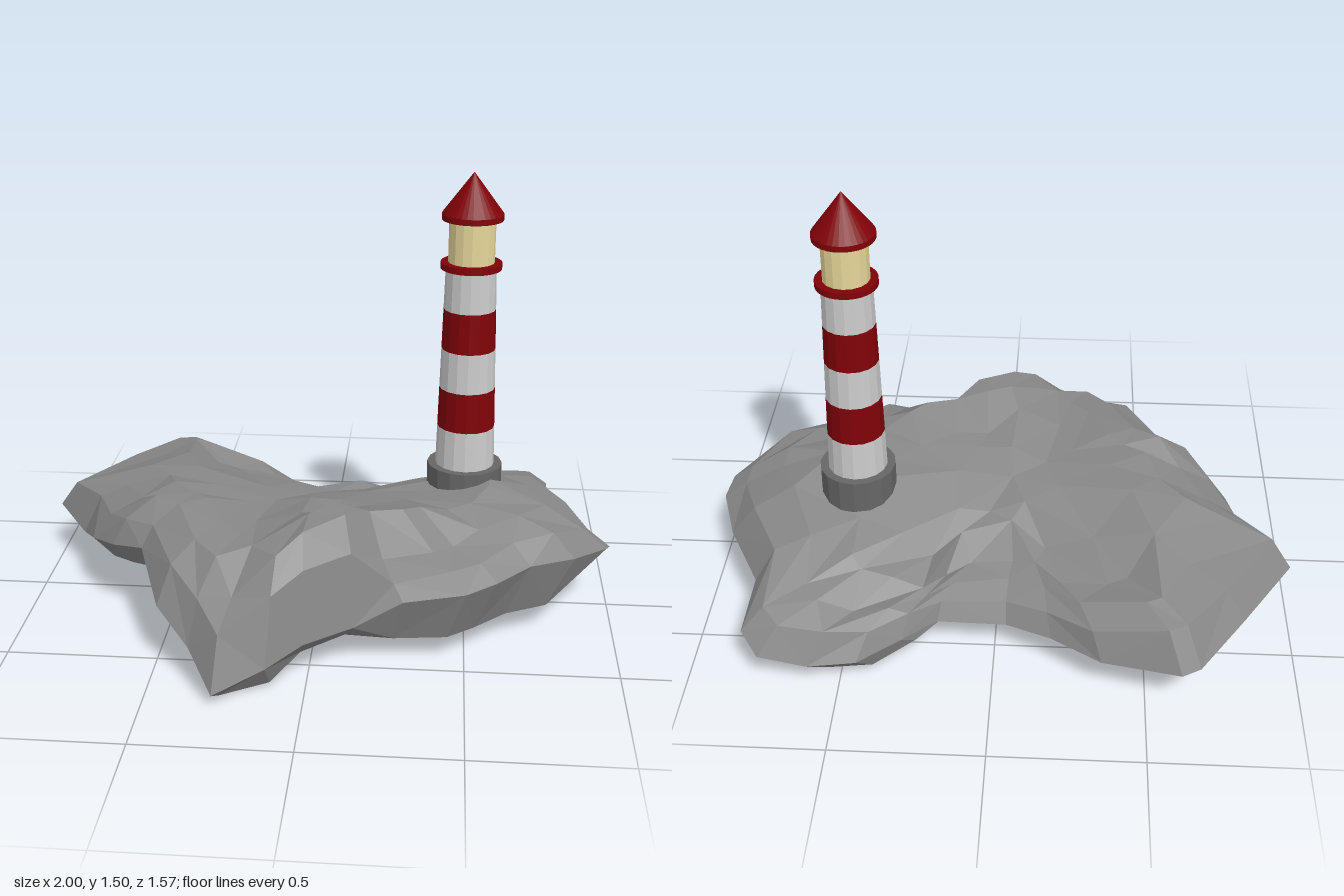
import * as THREE from 'three';

const material = (color) => new THREE.MeshStandardMaterial({ color, flatShading: true });

// Widest outline of the island: x, z, height of the rim
const RIM = [
  [-1, -0.27, 0.19], [-0.82, -0.56, 0.2], [-0.67, -0.76, 0.17], [-0.61, -0.785, 0.16],
  [-0.355, -0.715, 0.14], [-0.19, -0.6, 0.13], [-0.04, -0.53, 0.12], [0.19, -0.525, 0.12],
  [0.3, -0.62, 0.12], [0.44, -0.715, 0.1], [0.6, -0.73, 0.09], [0.76, -0.725, 0.12],
  [0.82, -0.66, 0.17], [0.81, -0.44, 0.2], [0.94, -0.19, 0.2], [1, -0.01, 0.22],
  [0.98, 0.07, 0.25], [0.86, 0.22, 0.28], [0.71, 0.31, 0.29], [0.6, 0.42, 0.28],
  [0.5, 0.49, 0.27], [0.3, 0.5, 0.24], [0.14, 0.515, 0.15], [-0.01, 0.62, 0.14],
  [-0.12, 0.71, 0.1], [-0.28, 0.78, 0.04], [-0.37, 0.65, 0.13], [-0.49, 0.53, 0.21],
  [-0.585, 0.28, 0.29], [-0.7, 0.2, 0.26], [-0.8, 0.07, 0.22], [-0.88, -0.12, 0.15],
];

// Spot heights of the upper surface: x, z, y
const TOP = [
  [0.1, 0.4, 0.5], [0, 0.52, 0.46], [-0.1, 0.62, 0.4], [-0.22, 0.68, 0.28], [-0.35, 0.35, 0.4],
  [-0.5, 0.1, 0.43], [-0.55, -0.2, 0.41], [-0.72, 0, 0.34], [-0.9, -0.25, 0.33], [-0.75, -0.5, 0.33],
  [-0.6, -0.62, 0.34], [-0.35, -0.6, 0.26], [-0.1, -0.4, 0.26], [-0.05, -0.47, 0.2], [-0.2, -0.1, 0.37],
  [0.1, 0.1, 0.41], [0.1, -0.2, 0.33], [0.15, -0.45, 0.2], [0.45, -0.6, 0.2], [0.65, -0.6, 0.25],
  [0.66, -0.35, 0.34], [0.48, -0.3, 0.34], [0.5, -0.1, 0.41], [0.6, 0, 0.45], [0.7, 0.1, 0.41],
  [0.85, 0.08, 0.36], [0.92, 0, 0.31], [0.28, 0.28, 0.47], [0.27, 0.44, 0.3], [0.5, 0.38, 0.35],
  [-0.5, 0.4, 0.37],
];

// Spot heights of the underside
const BOTTOM = [
  [-0.25, 0.67, -0.03], [0.55, 0, 0], [0.55, -0.6, 0.02], [-0.6, -0.4, 0.08], [-0.85, -0.18, 0.09],
  [-0.7, 0, 0.12], [-0.45, -0.15, 0.09], [-0.52, 0.15, 0.17], [0, 0, 0.08], [0, 0.4, 0.08],
  [0.3, 0.35, 0.03], [0.9, 0, 0.1], [-0.6, -0.7, 0.12], [-0.42, 0.4, 0.21], [0.1, -0.4, 0.08],
  [0.75, 0.1, 0.03],
];

// Blend of spot heights weighted by nearness
function heightAt(spots, x, z) {
  let sum = 0, total = 0;
  for (const [sx, sz, sy] of spots) {
    const w = 1 / (((x - sx) ** 2 + (z - sz) ** 2) ** 2 + 1e-5);
    sum += w * sy;
    total += w;
  }
  return sum / total;
}

function createRock() {
  let seed = 7;
  const jitter = (amount) => {
    seed = (seed * 16807) % 2147483647;
    return (seed / 2147483647 - 0.5) * 2 * amount;
  };
  const cx = -0.04, cz = -0.04;
  const corners = [];

  // One side of the rock: rings shrink inwards from the rim and lose corners on the way.
  // Each layer is [scale, share of the spot height, keep every n-th rim point, unevenness]
  const addSide = (spots, layers, up) => {
    const face = (a, b, c) => corners.push(...a, ...(up ? b : c), ...(up ? c : b));
    let outer = RIM.map(([x, z, y]) => [x, y, z]);
    for (const [scale, blend, step, rough] of layers) {
      const inner = RIM.filter((_, i) => i % step === 0).map(([rx, rz, ry]) => {
        const x = cx + (rx - cx) * scale + jitter(rough);
        const z = cz + (rz - cz) * scale + jitter(rough);
        const y = heightAt(spots, x, z) + jitter(0.01);
        return [x, Math.max(0, ry + (y - ry) * blend), z];
      });
      const halved = inner.length < outer.length;
      inner.forEach((c0, k) => {
        const c1 = inner[(k + 1) % inner.length];
        if (halved) {
          const f0 = outer[2 * k], f1 = outer[2 * k + 1], f2 = outer[(2 * k + 2) % outer.length];
          face(f0, c0, f1);
          face(f1, c0, c1);
          face(f1, c1, f2);
        } else {
          const f0 = outer[k], f1 = outer[(k + 1) % outer.length];
          if (k % 2) { face(f0, c0, f1); face(f1, c0, c1); }
          else { face(f0, c0, c1); face(f0, c1, f1); }
        }
      });
      outer = inner;
    }
    const middle = [cx, heightAt(spots, cx, cz), cz];
    outer.forEach((f, k) => face(f, middle, outer[(k + 1) % outer.length]));
  };
  addSide(TOP, [
    [0.92, 0.74, 1, 0.008], [0.78, 1, 1, 0.012], [0.61, 1, 1, 0.015], [0.41, 1, 2, 0.03], [0.2, 1, 4, 0.03],
  ], true);
  addSide(BOTTOM, [[0.9, 0.75, 1, 0.01], [0.74, 1, 1, 0.015], [0.52, 1, 2, 0.03], [0.27, 1, 4, 0.04]], false);

  const geometry = new THREE.BufferGeometry();
  geometry.setAttribute('position', new THREE.Float32BufferAttribute(corners, 3));
  geometry.computeVertexNormals();
  const mesh = new THREE.Mesh(geometry, material(0x888888));
  mesh.name = 'rockIsland';
  return mesh;
}

function createLighthouse() {
  const tower = new THREE.Group();
  tower.name = 'lighthouse';
  tower.position.set(0.49, 0, -0.125);
  const red = material(0x800208), white = material(0xdddddd);

  // Upright drum between two heights
  const drum = (name, y0, y1, r0, r1, mat, sides = 16) => {
    const mesh = new THREE.Mesh(new THREE.CylinderGeometry(r1, r0, y1 - y0, sides), mat);
    mesh.position.y = (y0 + y1) / 2;
    mesh.name = name;
    tower.add(mesh);
  };

  drum('foundation', 0.28, 0.475, 0.13, 0.13, material(0x666666));

  // Five tapering bands, alternately white and red
  const y0 = 0.475, step = 0.14;
  const radius = (y) => 0.102 - (y - y0) * 0.024;
  for (let i = 0; i < 5; i++) {
    const a = y0 + i * step, b = a + step;
    drum(i % 2 ? 'redBand' : 'whiteBand', a, b, radius(a), radius(b), i % 2 ? red : white);
  }

  drum('gallery', 1.175, 1.197, 0.103, 0.103, red, 32);
  drum('lanternRoom', 1.197, 1.342, 0.078, 0.078, material(0xe6d69a));
  drum('roofBrim', 1.342, 1.362, 0.103, 0.103, red, 32);
  drum('roof', 1.362, 1.5, 0.103, 0, red, 32);
  return tower;
}

export function createModel() {
  const model = new THREE.Group();
  model.name = 'lighthouseOnRock';
  model.add(createRock(), createLighthouse());
  return model;
}
